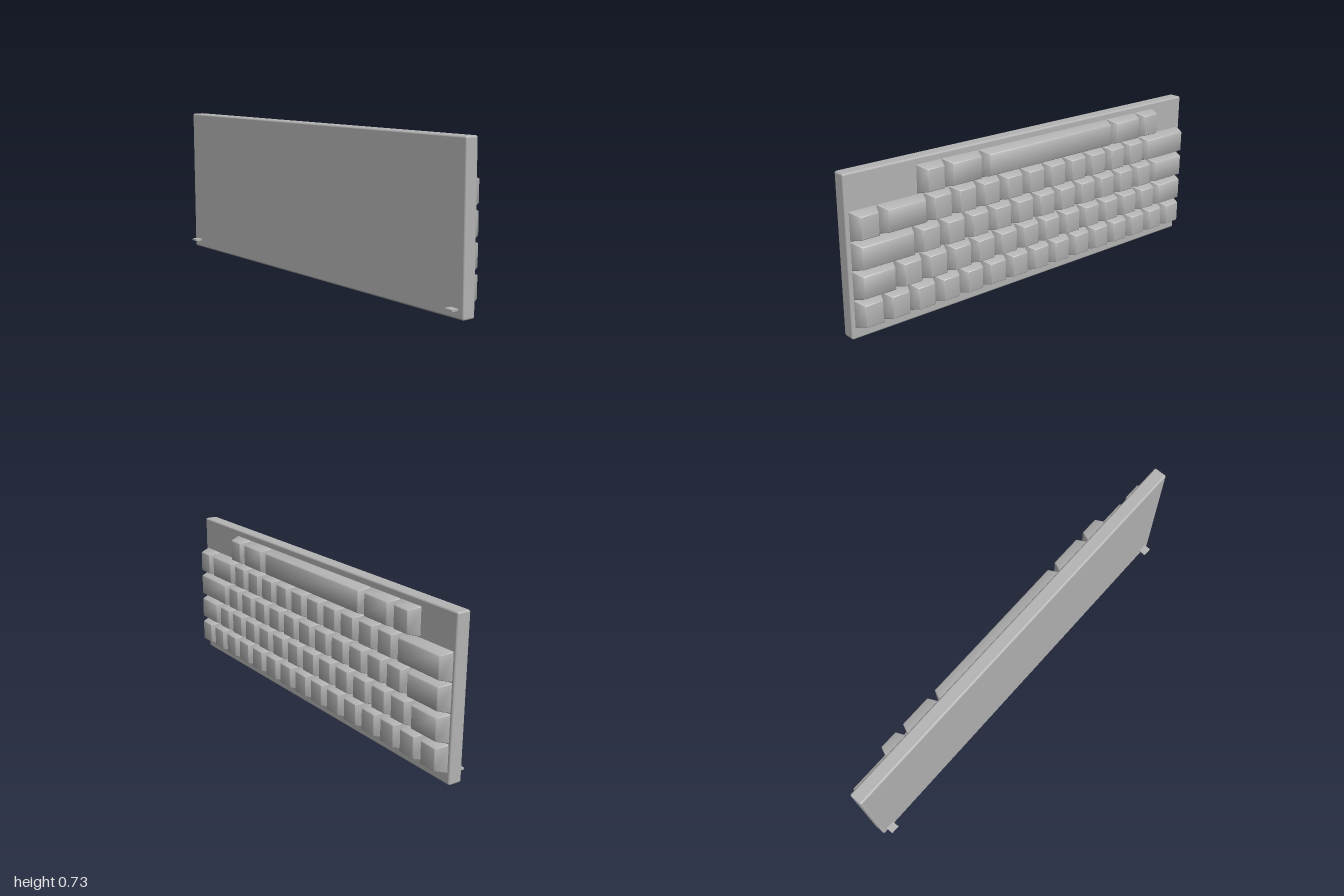
import * as THREE from 'three';
import { RoundedBoxGeometry } from 'three/addons/geometries/RoundedBoxGeometry.js';
import { toCreasedNormals } from 'three/addons/utils/BufferGeometryUtils.js';

const UNIT = 0.131; // width of a one-unit key
const PITCH = 0.128; // row spacing
const BACK = -0.023; // z of the key-side face of the case
const KEY_DEPTH = 0.052;
const CENTRE_Y = 0.3665;

// Tapered keycap: outer face (-z) is smaller than the base
function keycap(width) {
  const sunk = 0.006, w = width - 0.002, h = PITCH - 0.002;
  const depth = KEY_DEPTH + sunk;
  const geo = new RoundedBoxGeometry(w, h, depth, 2, 0.004);
  const p = geo.attributes.position;
  for (let i = 0; i < p.count; i++) {
    const t = THREE.MathUtils.clamp((depth / 2 - sunk - p.getZ(i)) / KEY_DEPTH, 0, 1);
    p.setX(i, p.getX(i) * (1 - (t * 0.044) / w));
    p.setY(i, p.getY(i) * (1 - (t * 0.028) / h));
  }
  geo.translate(0, 0, BACK + sunk - depth / 2);
  return toCreasedNormals(geo, 0.7);
}

export function createModel() {
  const model = new THREE.Group();
  model.name = 'keyboard';
  const grey = new THREE.MeshStandardMaterial({ color: 0xb4b4b4 });
  grey.name = 'grey plastic';

  // The whole keyboard leans very slightly in its own plane
  const tilted = new THREE.Group();
  tilted.name = 'tiltedKeyboard';
  tilted.position.y = CENTRE_Y;
  tilted.rotation.z = 0.0075;
  model.add(tilted);

  const add = (geo, name, x, y, z, parent = tilted) => {
    const mesh = new THREE.Mesh(geo, grey);
    mesh.name = name;
    mesh.position.set(x, y, z);
    parent.add(mesh);
  };

  // Case
  add(new RoundedBoxGeometry(1.993, 0.718, 0.064, 3, 0.009), 'case', 0, 0, 0.009);

  // Two small feet on the underside
  for (const x of [-0.95, 0.946]) {
    add(new THREE.BoxGeometry(0.042, 0.009, 0.04), 'foot', x, 0.048 - CENTRE_Y, 0.055);
  }

  // Key widths in units from -x to +x, lowest row first; negative is a gap
  const ones = (n) => Array(n).fill(1);
  const rows = [
    ones(15),
    [1.5, ...ones(12), 1.5],
    [1.75, ...ones(11), 2.25],
    [2.25, ...ones(10), 1.75, 1],
    [-1.5, 1, 1.5, 6, 1.5, 1],
  ];
  const cache = {};
  rows.forEach((row, r) => {
    const group = new THREE.Group();
    group.name = 'keyRow' + (r + 1);
    tilted.add(group);
    let x = -0.984;
    for (const units of row) {
      const width = Math.abs(units) * UNIT;
      if (units > 0) {
        cache[units] ??= keycap(width);
        add(cache[units], units === 6 ? 'spaceBar' : 'key', x + width / 2, 0.12 + r * PITCH - CENTRE_Y, 0, group);
      }
      x += width;
    }
  });
  return model;
}
